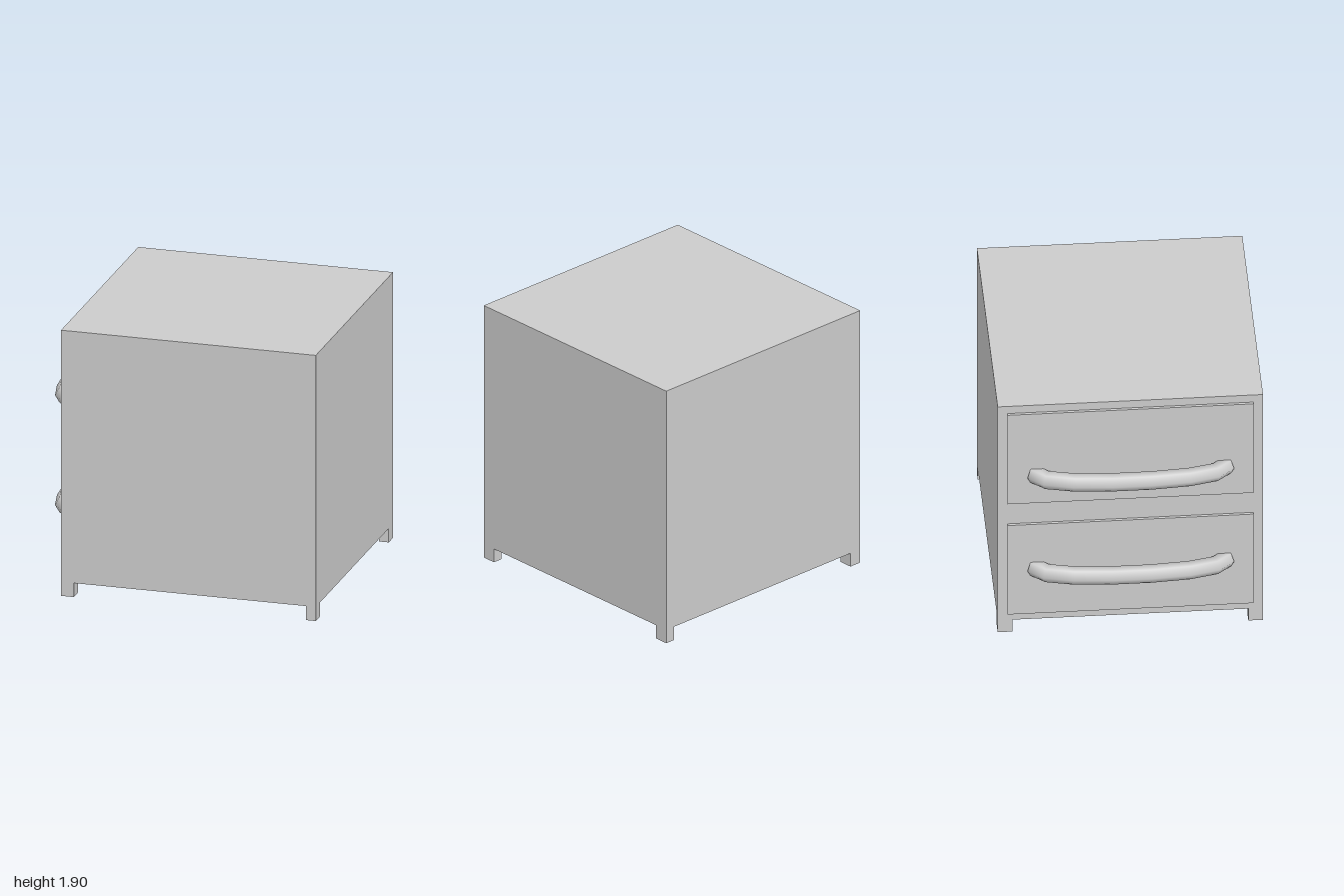
import * as THREE from 'three';
import { mergeVertices } from 'three/addons/utils/BufferGeometryUtils.js';

const material = new THREE.MeshStandardMaterial({ color: 0xcccccc });

// Box given by its minimum and maximum corners
function box(name, [x0, y0, z0], [x1, y1, z1]) {
  const mesh = new THREE.Mesh(new THREE.BoxGeometry(x1 - x0, y1 - y0, z1 - z0), material);
  mesh.position.set((x0 + x1) / 2, (y0 + y1) / 2, (z0 + z1) / 2);
  mesh.name = name;
  return mesh;
}

// Six-sided bar bent along a bowed path lying in the xz plane
function handleGeometry() {
  const half = [[0.66, -0.8], [0.571, -0.878], [0.39, -0.919], [0.13, -0.9375]];
  const path = [...half, ...half.map(([z, x]) => [-z, x]).reverse()]
    .map(([z, x]) => new THREE.Vector2(z, x));
  const last = path.length - 1;
  const geometry = new THREE.CylinderGeometry(0.0625, 0.0625, last, 6, last, true);
  const pos = geometry.attributes.position;
  for (let i = 0; i < pos.count; i++) {
    const row = Math.round(last / 2 - pos.getY(i));
    const before = path[Math.max(row - 1, 0)], after = path[Math.min(row + 1, last)];
    // The averaged direction of both neighbouring segments sets the ring's plane
    const a = path[row].clone().sub(before).normalize();
    const b = after.clone().sub(path[row]).normalize();
    const dir = a.add(b).normalize();
    const out = pos.getZ(i);
    pos.setXYZ(i, path[row].y + dir.x * out, -pos.getX(i), path[row].x - dir.y * out);
  }
  geometry.deleteAttribute('uv');
  geometry.deleteAttribute('normal');
  const smooth = mergeVertices(geometry);
  smooth.computeVertexNormals();
  return smooth;
}

export function createModel() {
  const model = new THREE.Group();
  model.name = 'drawerCabinet';

  model.add(box('cabinetBody', [-0.8, 0.1, -0.9], [1, 1.9, 0.9]));

  // Short corner legs
  for (const [x0, x1] of [[-0.8, -0.71], [0.93, 1]]) {
    for (const [z0, z1] of [[-0.9, -0.8], [0.8, 0.9]]) {
      model.add(box('leg', [x0, 0, z0], [x1, 0.1, z1]));
    }
  }

  // Two drawers, each a thin front with a bowed handle
  const handleShape = handleGeometry();
  for (const [name, bottom] of [['lowerDrawer', 0.16], ['upperDrawer', 1.09]]) {
    const drawer = new THREE.Group();
    drawer.name = name;
    drawer.add(box('drawerFront', [-0.82, bottom, -0.835], [-0.8, bottom + 0.75, 0.835]));
    const handle = new THREE.Mesh(handleShape, material);
    handle.name = 'drawerHandle';
    handle.position.y = bottom === 0.16 ? 0.537 : 1.322;
    drawer.add(handle);
    model.add(drawer);
  }
  return model;
}
